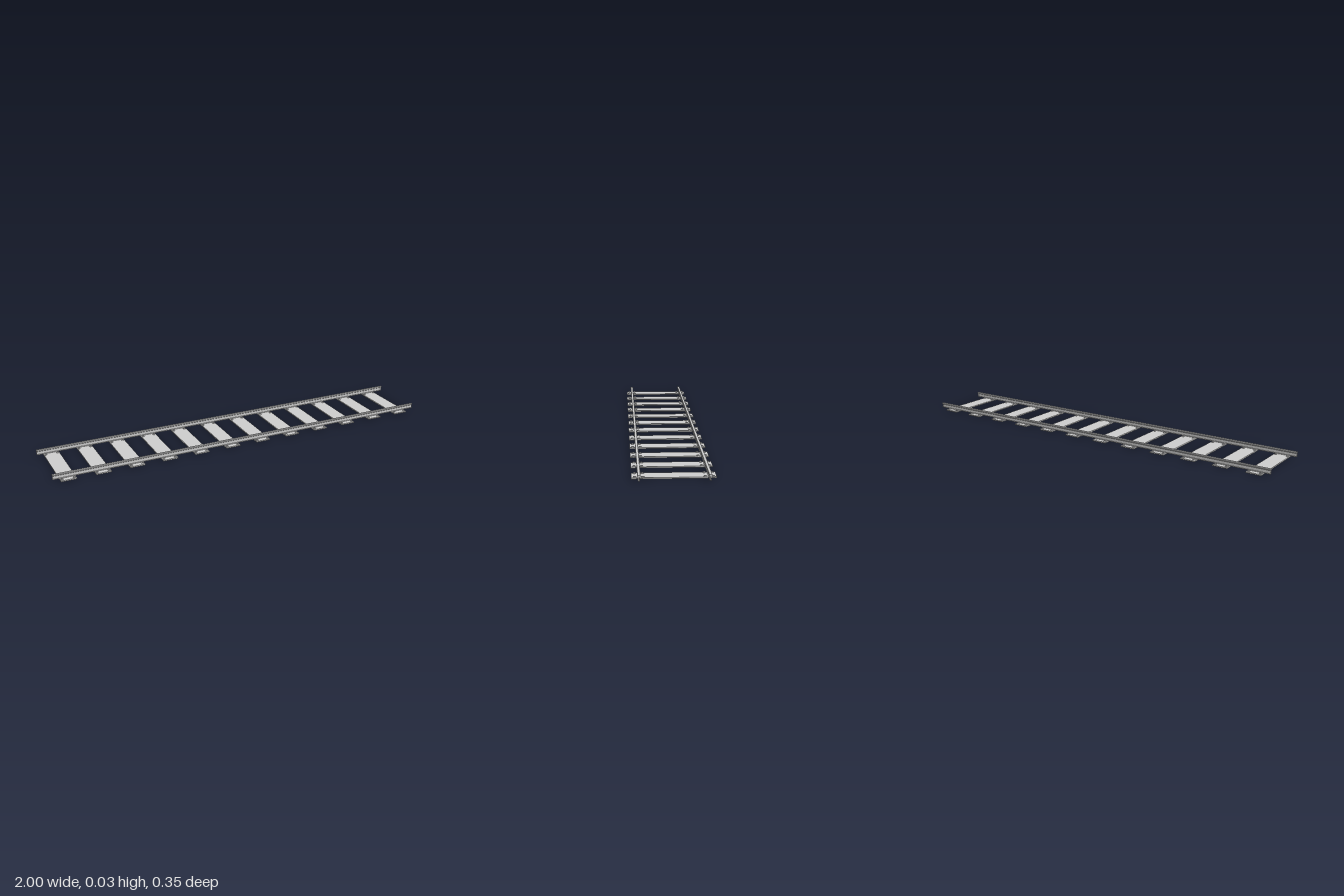
import * as THREE from 'three';

const material = new THREE.MeshStandardMaterial({ color: 0xcccccc, flatShading: true });

function addMesh(parent, geometry, name, x, y, z) {
  const mesh = new THREE.Mesh(geometry, material);
  mesh.name = name;
  mesh.position.set(x, y, z);
  parent.add(mesh);
  return mesh;
}

// Rail cross-section: slim web, small flare at the base, rounded head
function railGeometry(length) {
  const half = [
    [0.0045, 0.006], [0.0045, 0.0075], [0.003, 0.009], [0.003, 0.023],
    [0.0055, 0.0245], [0.007, 0.0265], [0.007, 0.029], [0.0055, 0.0312], [0.003, 0.032],
  ];
  const points = [...half, ...half.map(([x, y]) => [-x, y]).reverse()];
  const shape = new THREE.Shape(points.map(([x, y]) => new THREE.Vector2(x, y)));
  const geometry = new THREE.ExtrudeGeometry(shape, { depth: length, bevelEnabled: false });
  geometry.translate(0, 0, -length / 2);
  geometry.rotateY(Math.PI / 2);
  return geometry;
}

export function createModel() {
  const track = new THREE.Group();
  track.name = 'railwayTrack';
  const railZ = 0.146;

  // Two rails running the full length
  const rail = railGeometry(2);
  for (const side of [-1, 1]) {
    addMesh(track, rail, side > 0 ? 'frontRail' : 'backRail', 0, 0, side * railZ);
  }

  // Flat sleepers, each with four bolts around each rail
  const plank = new THREE.BoxGeometry(0.076, 0.006, 0.354);
  const washer = new THREE.CylinderGeometry(0.007, 0.007, 0.002, 10);
  const boltHead = new THREE.CylinderGeometry(0.003, 0.005, 0.003, 8);
  for (let i = 0; i < 12; i++) {
    const sleeper = new THREE.Group();
    sleeper.name = 'sleeper';
    sleeper.position.x = -0.93 + i * 0.167;
    track.add(sleeper);
    addMesh(sleeper, plank, 'sleeperPlank', 0, 0.003, 0);
    for (const side of [-1, 1]) {
      for (const dz of [-0.0165, 0.0165]) {
        for (const x of [-0.029, 0.029]) {
          const z = side * railZ + dz;
          addMesh(sleeper, washer, 'boltWasher', x, 0.007, z);
          addMesh(sleeper, boltHead, 'boltHead', x, 0.0095, z);
        }
      }
    }
  }
  return track;
}
